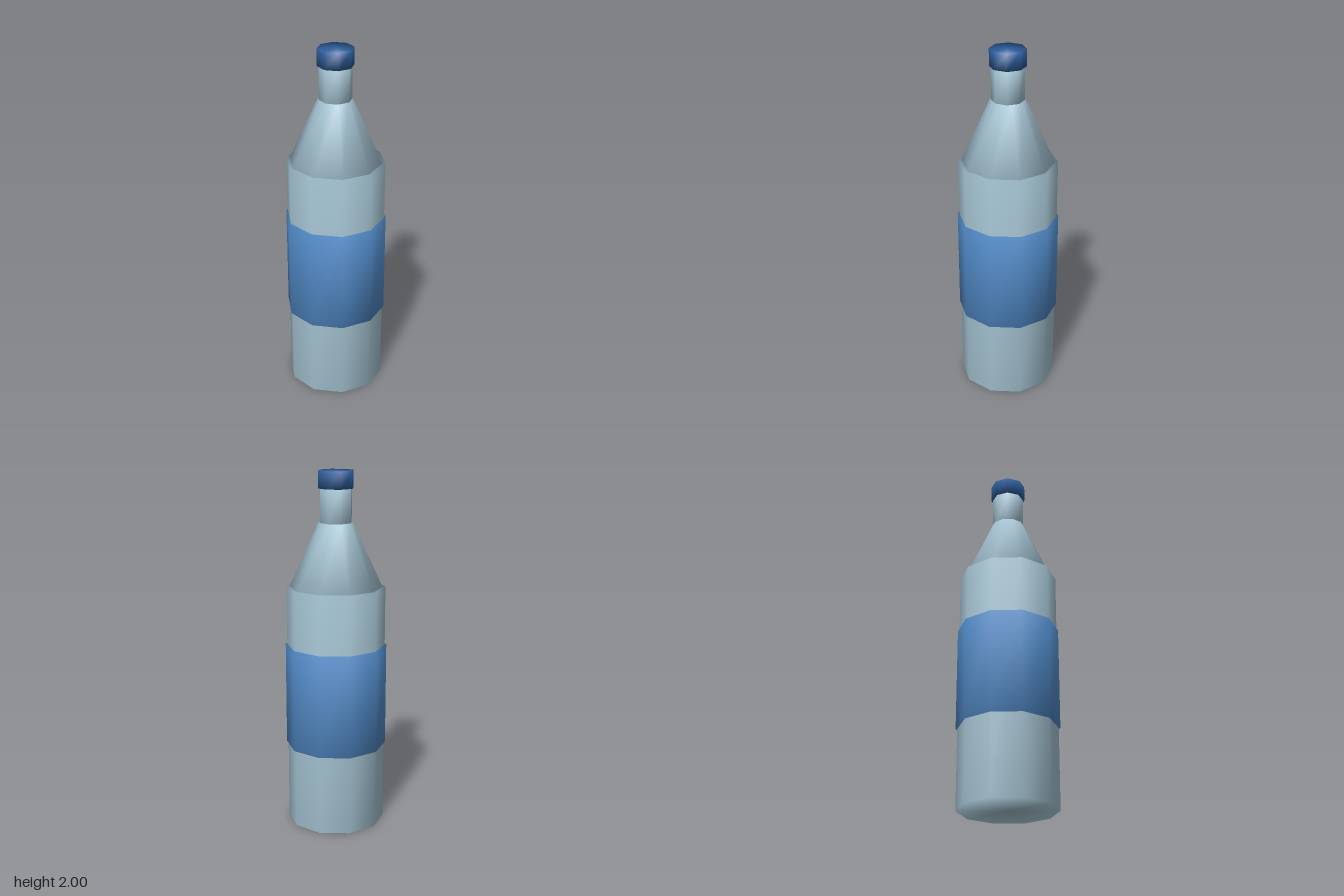
import * as THREE from 'three';
import { mergeVertices } from 'three/addons/utils/BufferGeometryUtils.js';

const paint = (name, color) => {
  const m = new THREE.MeshStandardMaterial({ color });
  m.name = name;
  return m;
};

// Closed low-poly drum between two heights, with normals smoothed over its rims
function drum(name, material, rBottom, rTop, y0, y1, sides) {
  let geo = new THREE.CylinderGeometry(rTop, rBottom, y1 - y0, sides);
  geo.deleteAttribute('normal');
  geo.deleteAttribute('uv');
  geo = mergeVertices(geo, 1e-4);
  geo.computeVertexNormals();
  const mesh = new THREE.Mesh(geo, material);
  mesh.name = name;
  mesh.position.y = (y0 + y1) / 2;
  return mesh;
}

export function createModel() {
  const glass = paint('pale blue glass', 0xa5c4d3);
  const labelBlue = paint('label blue', 0x5089c6);
  const capBlue = paint('cap blue', 0x2d5d9b);

  const bottle = new THREE.Group();
  bottle.name = 'bottle';
  bottle.add(
    // ten-sided body with its wrap-around label and tapered shoulder
    drum('body', glass, 0.274, 0.274, 0, 1.365, 10),
    drum('label', labelBlue, 0.283, 0.283, 0.455, 1.035, 10),
    drum('shoulder', glass, 0.257, 0.096, 1.365, 1.72, 10),
    // eight-sided neck and cap
    drum('neck', glass, 0.09, 0.09, 1.72, 1.905, 8),
    drum('cap', capBlue, 0.099, 0.099, 1.905, 2, 8),
  );
  return bottle;
}
